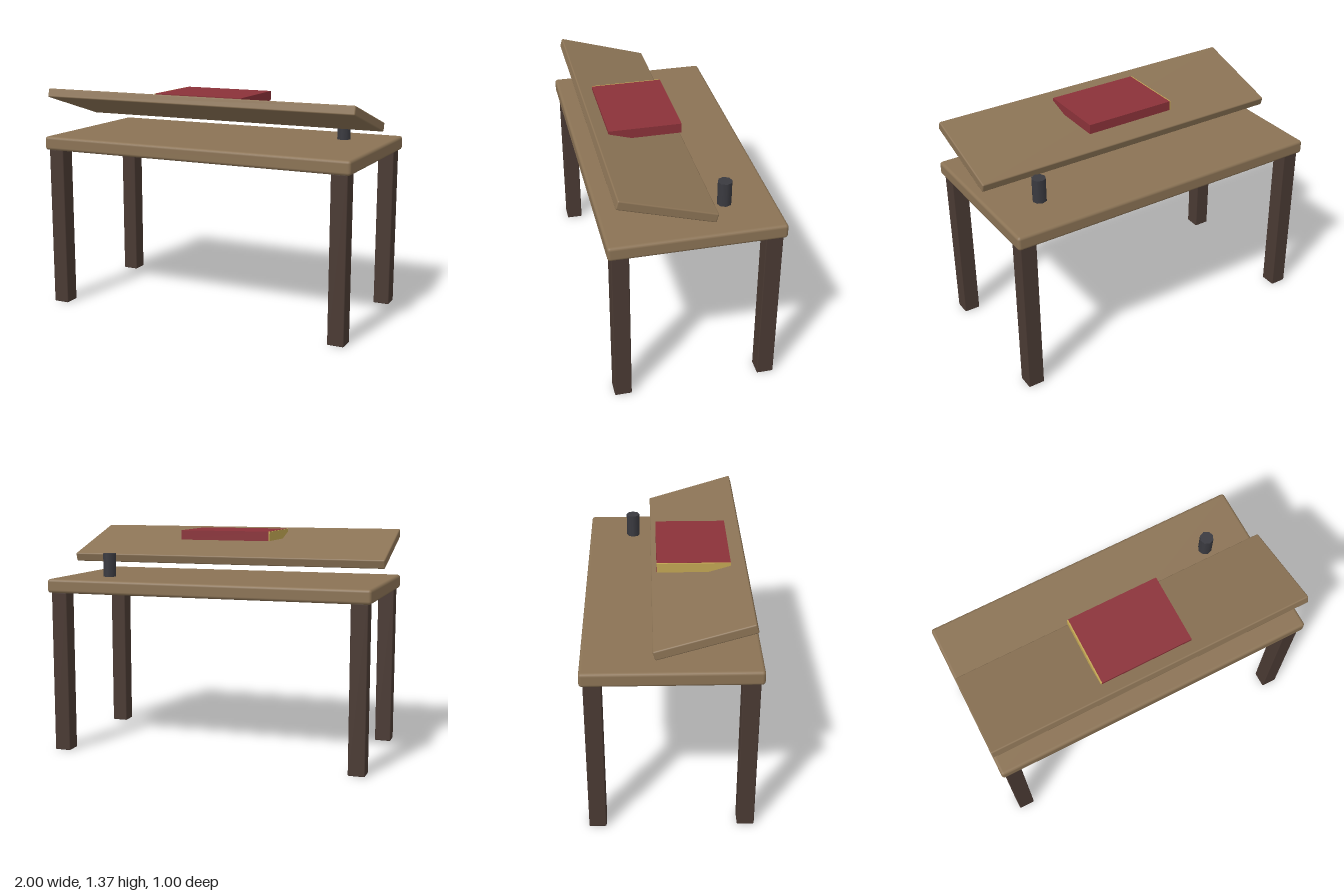
import * as THREE from 'three';
import { RoundedBoxGeometry } from 'three/addons/geometries/RoundedBoxGeometry.js';

const material = (color) => new THREE.MeshStandardMaterial({ color });

export function createModel() {
  const group = new THREE.Group();
  const wood = material(0x8b7355);
  const darkWood = material(0x4a3a33);

  const add = (name, geometry, mat, x, y, z) => {
    const mesh = new THREE.Mesh(geometry, mat);
    mesh.name = name;
    mesh.position.set(x, y, z);
    group.add(mesh);
    return mesh;
  };

  // Table top with softened edges
  add('tableTop', new RoundedBoxGeometry(2, 0.085, 1, 2, 0.018), wood, 0, 1.03, 0);

  // Four square legs
  const legGeometry = new RoundedBoxGeometry(0.1, 0.99, 0.1, 1, 0.006);
  for (const x of [-1, 1]) {
    for (const z of [-1, 1]) {
      add(`${z > 0 ? 'front' : 'back'}${x > 0 ? 'Left' : 'Right'}Leg`,
        legGeometry, darkWood, x * 0.93, 0.495, z * 0.43);
    }
  }

  // Slanted board floating above the table, high at the front
  const board = add('slantedBoard', new RoundedBoxGeometry(2, 0.055, 0.565, 2, 0.008),
    wood, 0, 1.26, 0.174);
  board.rotation.x = -0.29;

  // Book with its page edge on the right
  add('bookCover', new THREE.BoxGeometry(0.566, 0.058, 0.427), material(0x8b3239), 0, 1.332, 0.142);
  add('bookPages', new THREE.BoxGeometry(0.01, 0.056, 0.425), material(0xc2a653), -0.286, 1.332, 0.142);

  // Small round ink pot
  add('inkPot', new THREE.CylinderGeometry(0.042, 0.042, 0.145, 8), material(0x3a3a40), 0.71, 1.145, -0.215);

  return group;
}
